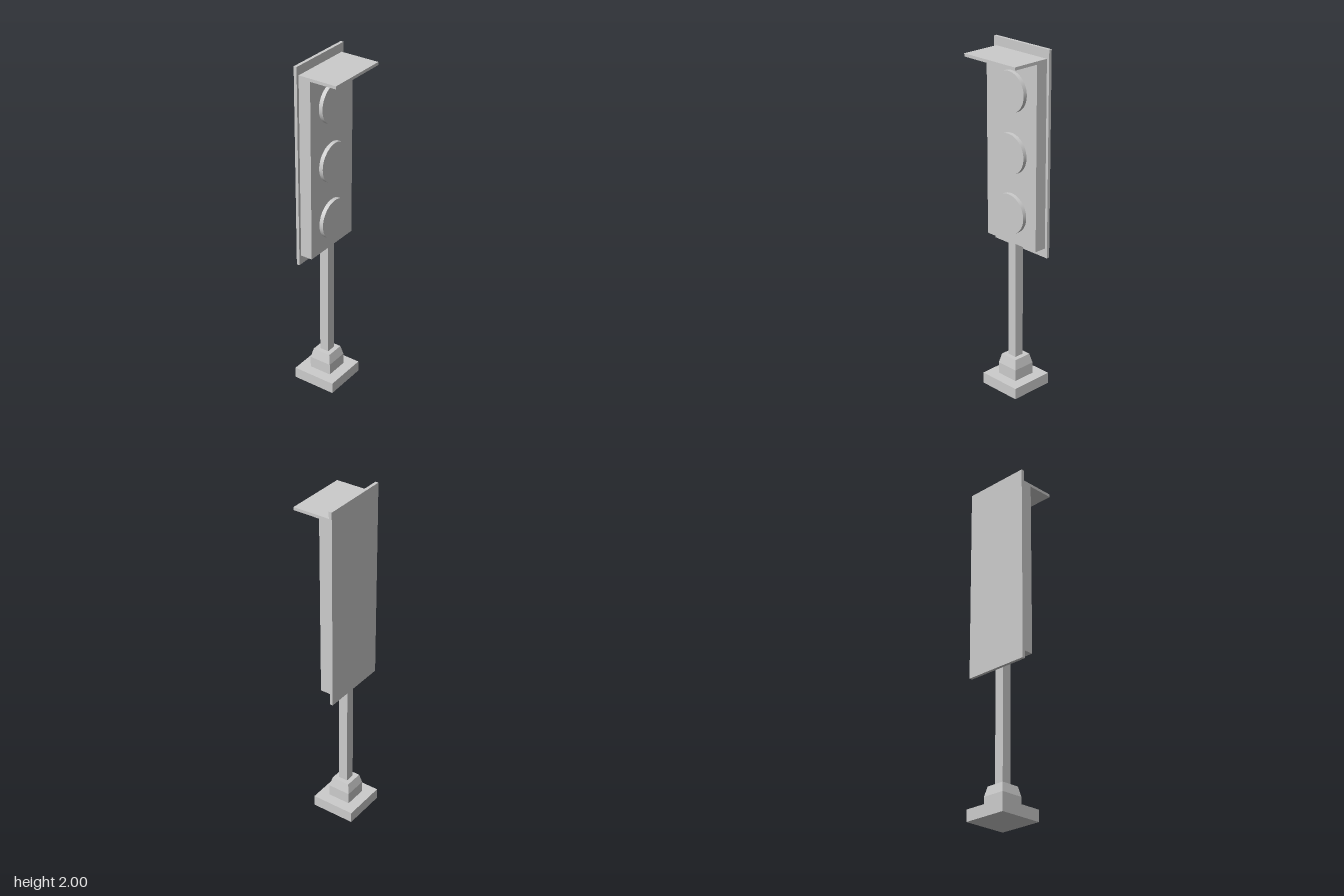
import * as THREE from 'three';

const grey = new THREE.MeshStandardMaterial({ color: 0xcccccc });
const flat = new THREE.MeshStandardMaterial({ color: 0xcccccc, flatShading: true });

export function createModel() {
  const model = new THREE.Group();

  const add = (name, geometry, material = grey) => {
    const mesh = new THREE.Mesh(geometry, material);
    mesh.name = name;
    model.add(mesh);
    return mesh;
  };
  // Box centred on x, given by its y and z limits
  const box = (name, width, y0, y1, z0, z1) =>
    add(name, new THREE.BoxGeometry(width, y1 - y0, z1 - z0))
      .position.set(0, (y0 + y1) / 2, (z0 + z1) / 2);

  const poleZ = -0.031;

  // Square foot, plinth with tapered shoulder, and square pole
  box('base', 0.262, 0, 0.066, poleZ - 0.131, poleZ + 0.131);
  box('plinth', 0.136, 0.066, 0.134, poleZ - 0.068, poleZ + 0.068);
  const shoulder = new THREE.CylinderGeometry(0.055 * Math.SQRT2, 0.068 * Math.SQRT2, 0.056, 4);
  shoulder.rotateY(Math.PI / 4);
  add('plinthShoulder', shoulder, flat).position.set(0, 0.162, poleZ);
  box('pole', 0.056, 0.19, 0.9, poleZ - 0.028, poleZ + 0.028);

  // Signal head: housing, wider back board and sun visor
  box('housing', 0.372, 0.894, 1.95, -0.068, 0.003);
  box('backBoard', 0.404, 0.84, 2, -0.086, -0.068);
  box('visor', 0.372, 1.933, 1.95, 0.003, 0.161);

  // Three round lenses
  [1.07, 1.412, 1.754].forEach((y, i) => {
    const lens = new THREE.CylinderGeometry(0.114, 0.114, 0.024, 48);
    lens.rotateX(Math.PI / 2);
    add(['lowerLens', 'middleLens', 'upperLens'][i], lens).position.set(0, y, 0.014);
  });

  return model;
}
